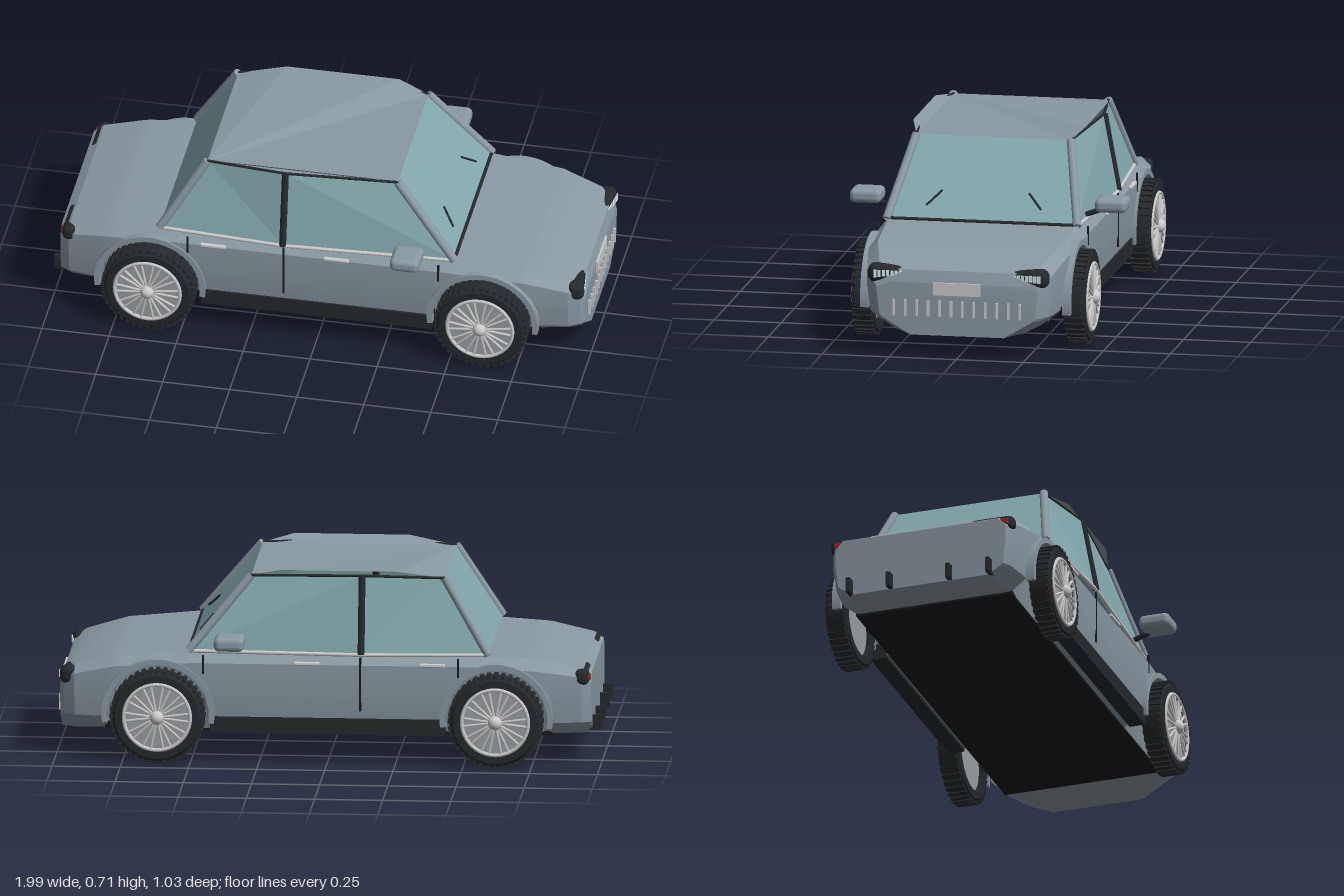
import * as THREE from 'three';
import { toCreasedNormals } from 'three/addons/utils/BufferGeometryUtils.js';
import { RoundedBoxGeometry } from 'three/addons/geometries/RoundedBoxGeometry.js';

const mat = (color) => new THREE.MeshStandardMaterial({ color, side: THREE.DoubleSide });
const paint = mat(0x8a99a2), glass = mat(0x84a9ad), dark = mat(0x25292b), black = mat(0x17191a);
const metal = mat(0xcccccc), red = mat(0xa82020), lamp = mat(0xd8ecf0);
const V = (x, y, z) => new THREE.Vector3(x, y, z);

function add(parent, name, geo, material, x = 0, y = 0, z = 0) {
  const m = new THREE.Mesh(geo, material);
  m.name = name;
  m.position.set(x, y, z);
  parent.add(m);
  return m;
}
const box = (g, name, material, w, h, d, x, y, z) =>
  add(g, name, new THREE.BoxGeometry(w, h, d), material, x, y, z);

// Flat polygon fanned from its first corner
function panel(g, name, material, pts) {
  const tris = [];
  for (let i = 1; i < pts.length - 1; i++) tris.push(pts[0], pts[i], pts[i + 1]);
  const geo = new THREE.BufferGeometry().setFromPoints(tris);
  geo.computeVertexNormals();
  return add(g, name, geo, material);
}
// Round bar between two points
function bar(g, name, material, a, b, r, sides = 10) {
  const m = add(g, name, new THREE.CylinderGeometry(r, r, a.distanceTo(b), sides), material);
  m.position.copy(a).lerp(b, 0.5);
  m.quaternion.setFromUnitVectors(V(0, 1, 0), b.clone().sub(a).normalize());
  return m;
}

const WX = 0.62, WY = 0.175, ARCH = 0.192;

// Body keys: x, half width, top half width, top y, shoulder y, bottom y, bottom half width
const keys = [
  [-0.965, 0.33, 0.3, 0.34, 0.31, 0.12, 0.26], [-0.93, 0.35, 0.315, 0.362, 0.33, 0.11, 0.28],
  [-0.77, 0.375, 0.335, 0.394, 0.355, 0.11, 0.3], [-0.55, 0.385, 0.35, 0.405, 0.37, 0.11, 0.3],
  [0.5, 0.385, 0.35, 0.41, 0.37, 0.11, 0.3], [0.78, 0.37, 0.335, 0.386, 0.35, 0.11, 0.3],
  [0.93, 0.345, 0.3, 0.348, 0.315, 0.095, 0.24], [0.97, 0.32, 0.27, 0.325, 0.29, 0.088, 0.19],
  [0.985, 0.3, 0.25, 0.28, 0.26, 0.085, 0.175]];

function keyAt(x) {
  let i = 0;
  while (i < keys.length - 2 && x > keys[i + 1][0]) i++;
  const t = (x - keys[i][0]) / (keys[i + 1][0] - keys[i][0]);
  return keys[i].map((v, k) => v + (keys[i + 1][k] - v) * t);
}
// Cross-section ring; a is the arch height that lifts the lower side edges
function section(x, a) {
  const [, w, tw, ty, sy, by, bw] = keyAt(x);
  const up = (y) => Math.max(y, a);
  const half = [[tw, ty], [w, up(sy)], [w, up(0.25)], [w * 0.965, up(0.16)],
    [a ? 0.345 : w * 0.94, up(0.15)], [bw, by]];
  const left = half.map(([z, y]) => V(x, y, z));
  const right = half.map(([z, y]) => V(x, y, -z)).reverse();
  return [...left, ...right];
}
function bodyGeometry() {
  const st = keys.map((k) => [k[0], 0]).filter(([x]) => Math.abs(Math.abs(x) - WX) > ARCH);
  for (const c of [-WX, WX]) {
    for (const s of [-1, 1]) st.push([c + s * (ARCH + 0.0005), 0]);
    for (let i = 0; i <= 16; i++) {
      const t = Math.PI * i / 16;
      st.push([c - ARCH * Math.cos(t), WY + ARCH * Math.sin(t)]);
    }
  }
  st.sort((p, q) => p[0] - q[0]);
  const rings = st.map(([x, a]) => section(x, a)), n = rings[0].length, tris = [];
  for (let i = 0; i < rings.length - 1; i++) for (let j = 0; j < n; j++) {
    const k = (j + 1) % n, p = rings[i], q = rings[i + 1];
    tris.push(p[j], p[k], q[j], p[k], q[k], q[j]);
  }
  const first = rings[0], last = rings[rings.length - 1];
  for (let j = 1; j < n - 1; j++) {
    tris.push(first[0], first[j + 1], first[j], last[0], last[j], last[j + 1]);
  }
  return toCreasedNormals(new THREE.BufferGeometry().setFromPoints(tris), 0.3);
}

function makeWheel() {
  const g = new THREE.Group();
  // Tyre cross-section turned around the axle, z = 0 at the inner face
  const profile = [[0.125, 0], [0.155, 0], [0.168, 0.012], [0.168, 0.065], [0.155, 0.08],
    [0.125, 0.08], [0.125, 0]].map(([r, y]) => new THREE.Vector2(r, y));
  const tyre = toCreasedNormals(new THREE.LatheGeometry(profile, 48), 0.5).rotateX(Math.PI / 2);
  add(g, 'tyre', tyre, dark);
  for (let i = 0; i < 40; i++) {
    const t = i * Math.PI / 20;
    const lug = box(g, 'treadBlock', dark, 0.012, 0.014, 0.072, Math.cos(t) * 0.168, Math.sin(t) * 0.168, 0.04);
    lug.rotation.z = t;
  }
  add(g, 'rimDisc', new THREE.CylinderGeometry(0.126, 0.126, 0.05, 40).rotateX(Math.PI / 2), mat(0x9a9fa2), 0, 0, 0.045);
  add(g, 'rimRing', new THREE.TorusGeometry(0.122, 0.007, 8, 48), metal, 0, 0, 0.08);
  for (let i = 0; i < 20; i++) {
    const t = (Math.floor(i / 2) + (i % 2 ? 0.2 : -0.2)) * Math.PI / 5;
    bar(g, 'spoke', metal, V(0, 0, 0.084), V(Math.cos(t) * 0.12, Math.sin(t) * 0.12, 0.08), 0.005, 6);
  }
  add(g, 'hub', new THREE.SphereGeometry(0.026, 20, 14), metal, 0, 0, 0.083);
  return g;
}

export function createModel() {
  const car = new THREE.Group();
  car.name = 'car';
  add(car, 'body', bodyGeometry(), paint);
  box(car, 'floor', black, 1.64, 0.03, 0.6, 0, 0.117, 0);

  // Windscreen, rear window and roof
  const mir = (p, s) => V(p.x, p.y, p.z * s);
  const aBase = V(0.51, 0.41, 0.355), aTop = V(0.285, 0.682, 0.288);
  const cBase = V(-0.59, 0.41, 0.355), cTop = V(-0.425, 0.682, 0.288);
  panel(car, 'windscreen', glass, [aBase, mir(aBase, -1), mir(aTop, -1), aTop]);
  panel(car, 'rearWindow', glass, [mir(cBase, -1), cBase, cTop, mir(cTop, -1)]);
  const p1 = V(0.17, 0.71, 0.322), p2 = V(-0.25, 0.71, 0.322);
  panel(car, 'roof', paint, [cTop, p2, p1, aTop, mir(aTop, -1), mir(p1, -1), mir(p2, -1), mir(cTop, -1)]);
  bar(car, 'cowlTrim', dark, V(0.508, 0.412, 0.34), V(0.508, 0.412, -0.34), 0.007);

  for (const s of [1, -1]) {
    const side = new THREE.Group();
    side.name = s > 0 ? 'leftHalf' : 'rightHalf';
    car.add(side);
    const q = (x, y, z) => V(x, y, z * s);

    // Side windows, pillars and trims
    const bBase = q(-0.125, 0.41, 0.385), bTop = q(-0.125, 0.695, 0.332);
    const aB = mir(aBase, s), aT = mir(aTop, s), cB = mir(cBase, s), cT = mir(cTop, s);
    panel(side, 'frontSideWindow', glass, [aB, aT, bTop, bBase]);
    panel(side, 'rearSideWindow', glass, [bBase, bTop, cT, cB]);
    bar(side, 'frontPillar', paint, aB, aT, 0.016);
    bar(side, 'rearPillar', paint, cB, cT, 0.016);
    bar(side, 'centrePillar', dark, bBase, bTop, 0.013);
    bar(side, 'windowTopTrim', dark, aT, bTop, 0.005);
    bar(side, 'windowTopTrim', dark, bTop, cT, 0.005);
    bar(side, 'beltTrim', metal, aB, bBase, 0.007);
    bar(side, 'beltTrim', metal, bBase, cB, 0.007);
    box(side, 'sideSkirt', dark, 0.86, 0.06, 0.06, 0, 0.14, s * 0.35);

    // Door seams and handles
    for (const [x, y, h] of [[-0.48, 0.365, 0.07], [-0.122, 0.3, 0.2], [0.455, 0.365, 0.07]]) {
      box(side, 'doorSeam', black, 0.007, h, 0.006, x, y, s * 0.384);
    }
    for (const x of [-0.385, 0.075]) {
      add(side, 'doorHandle', new RoundedBoxGeometry(0.095, 0.014, 0.016, 2, 0.005), metal, x, 0.374, s * 0.386);
    }

    // Mirror
    add(side, 'mirror', new RoundedBoxGeometry(0.11, 0.052, 0.118, 3, 0.02), paint, 0.352, 0.465, s * 0.457);
    bar(side, 'mirrorArm', dark, q(0.365, 0.425, 0.36), q(0.365, 0.447, 0.42), 0.01);

    // Wiper
    bar(side, 'wiper', dark, q(0.477, 0.46, 0.213), q(0.432, 0.508, 0.162), 0.004, 6);

    // Headlight with a row of lamp segments
    const head = new THREE.Group();
    head.name = 'headlight';
    head.position.set(0.945, 0.306, s * 0.257);
    head.rotation.y = s * 0.14;
    side.add(head);
    const shell = new RoundedBoxGeometry(0.066, 0.072, 0.16, 4, 0.028), pos = shell.attributes.position;
    for (let i = 0; i < pos.count; i++) {
      const t = (pos.getZ(i) * s + 0.08) / 0.16;
      pos.setY(i, 0.012 + (pos.getY(i) - 0.012) * (0.5 + 0.5 * Math.min(1, t * 1.6)));
    }
    shell.computeVertexNormals();
    add(head, 'headlightShell', shell, dark);
    for (let i = 0; i < 8; i++) {
      const h = 0.014 + 0.002 * i;
      box(head, 'lampSegment', lamp, 0.008, h, 0.011, 0.031, 0.01 - h * 0.3, s * (-0.055 + i * 0.0155));
    }

    // Tail light
    add(side, 'tailLightShell', new RoundedBoxGeometry(0.055, 0.06, 0.175, 4, 0.024), dark, -0.93, 0.328, s * 0.268);
    add(side, 'tailLamp', new RoundedBoxGeometry(0.012, 0.022, 0.14, 2, 0.005), red, -0.957, 0.328, s * 0.268);

    // Rear bumper blocks
    for (const z of [0.115, 0.27]) box(side, 'bumperBlock', dark, 0.06, 0.055, 0.016, -0.97, 0.148, s * z);

    // Wheels and arch trims
    for (const x of [-WX, WX]) {
      const wheel = makeWheel();
      wheel.name = x > 0 ? 'frontWheel' : 'rearWheel';
      wheel.position.set(x, WY, s * 0.355);
      if (s < 0) wheel.rotation.y = Math.PI;
      side.add(wheel);
      const rim = new THREE.Shape();
      rim.absarc(0, 0, 0.207, -0.15, Math.PI + 0.15, false);
      rim.absarc(0, 0, 0.187, Math.PI + 0.15, -0.15, true);
      const arch = new THREE.ExtrudeGeometry(rim, { depth: 0.032, bevelEnabled: false, curveSegments: 24 });
      add(side, 'wheelArch', arch.translate(0, 0, -0.016), paint, x, WY, s * 0.376);
    }
  }

  // Grille slats and number plate
  for (let i = 0; i < 12; i++) {
    box(car, 'grilleSlat', metal, 0.014, 0.06, 0.008, 0.987, 0.186, (i - 5.5) * 0.0427);
  }
  box(car, 'numberPlate', metal, 0.016, 0.047, 0.176, 0.983, 0.26, 0);
  return car;
}
